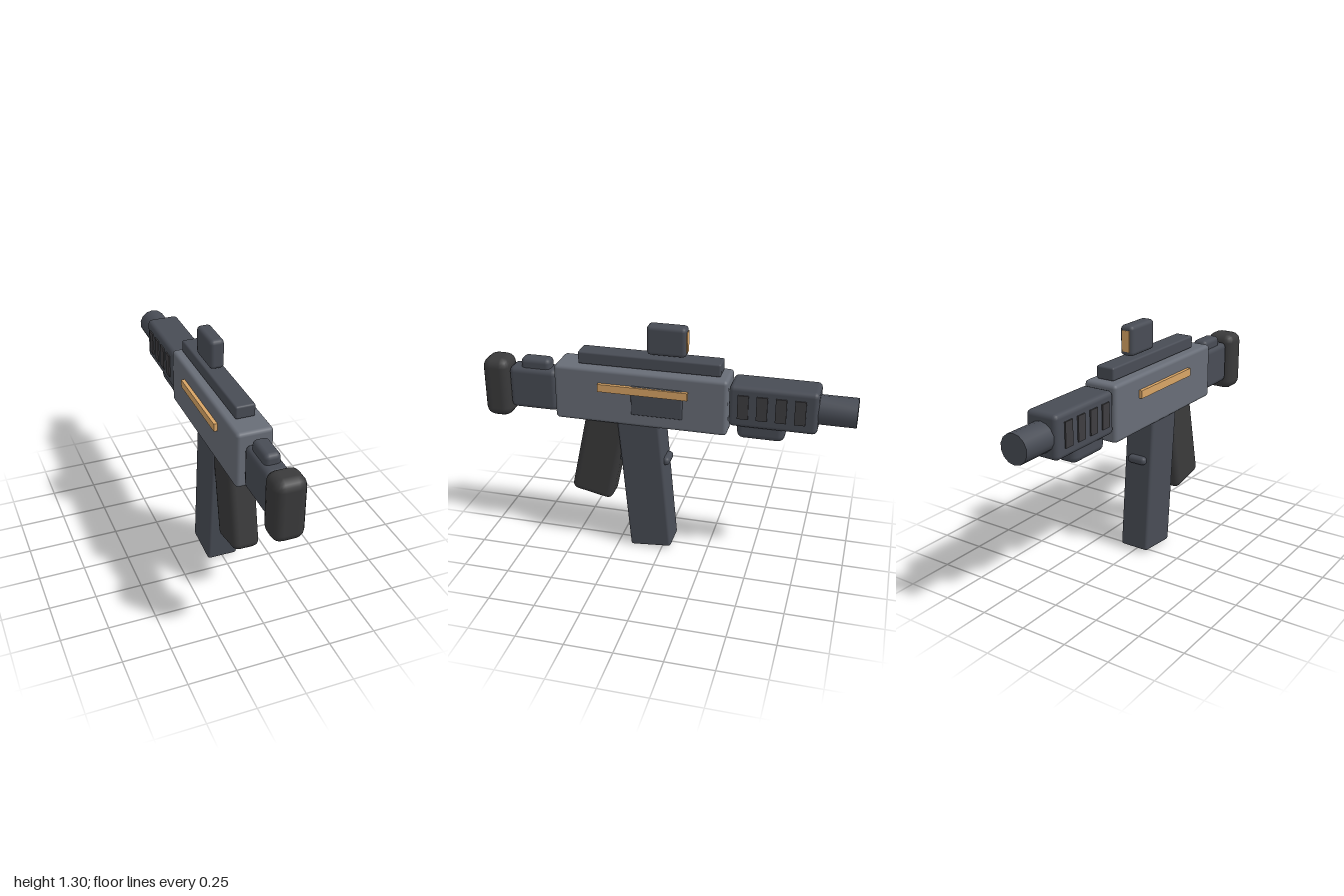
import * as THREE from 'three';
import { RoundedBoxGeometry } from 'three/addons/geometries/RoundedBoxGeometry.js';

const material = (color) => new THREE.MeshStandardMaterial({ color });

export function createModel() {
  const model = new THREE.Group();
  model.name = 'toyBlaster';

  const body = material(0x686d77);
  const dark = material(0x484c55);
  const rubber = material(0x3a3a3b);
  const ventGrey = material(0x3e3d40);
  const accent = material(0xd9a566);

  const add = (name, geometry, mat, x, y, z, tilt = 0) => {
    const mesh = new THREE.Mesh(geometry, mat);
    mesh.name = name;
    mesh.position.set(x, y, z);
    mesh.rotation.x = tilt;
    model.add(mesh);
    return mesh;
  };
  // Bevelled block centred on x, given by its height and depth ranges
  const block = (name, mat, width, [y0, y1], [z0, z1], bevel, x = 0) =>
    add(name, new RoundedBoxGeometry(width, y1 - y0, z1 - z0, 2, bevel), mat,
      x, (y0 + y1) / 2, (z0 + z1) / 2);

  // Main body and top rail
  block('receiver', body, 0.192, [0.755, 1.06], [-0.35, 0.58], 0.02);
  block('topRail', dark, 0.104, [1.063, 1.132], [-0.305, 0.457], 0.01);

  // Sight with a coloured lens on its muzzle side
  block('sight', dark, 0.078, [1.14, 1.3], [-0.12, 0.09], 0.022);
  add('sightLens', new THREE.BoxGeometry(0.042, 0.11, 0.012), accent, 0, 1.22, -0.117);

  // Barrel, handguard and lower foregrip
  const barrel = new THREE.CylinderGeometry(0.077, 0.077, 0.3, 14).rotateX(Math.PI / 2);
  barrel.computeVertexNormals();
  add('barrel', barrel, dark, 0, 0.923, -0.85);
  block('handguard', dark, 0.18, [0.813, 1.04], [-0.81, -0.355], 0.025);
  block('foregrip', dark, 0.13, [0.735, 0.85], [-0.645, -0.395], 0.035);

  // Vents and accent strips on both sides
  for (const side of [-1, 1]) {
    for (let i = 0; i < 4; i++) {
      add('vent', new THREE.BoxGeometry(0.02, 0.13, 0.056), ventGrey,
        side * 0.087, 0.93, -0.43 - i * 0.097);
    }
    add('accentStrip', new THREE.BoxGeometry(0.022, 0.042, 0.48), accent,
      side * 0.104, 0.963, 0.095);
  }

  // Port cover on one side only
  block('portCover', dark, 0.022, [0.825, 0.987], [-0.117, 0.158], 0.008, 0.095);

  // Shoulder stock
  block('stock', dark, 0.12, [0.77, 1.006], [0.582, 0.852], 0.03);
  block('cheekRest', dark, 0.084, [0.98, 1.057], [0.622, 0.787], 0.025);
  block('buttPad', rubber, 0.166, [0.71, 1.045], [0.85, 1.0], 0.05);

  // Slanted rear grip and forward magazine
  add('grip', new RoundedBoxGeometry(0.146, 0.6, 0.236, 2, 0.035), rubber,
    0, 0.58, 0.345, -0.21);
  add('magazine', new RoundedBoxGeometry(0.17, 0.82, 0.23, 2, 0.015), dark,
    0, 0.419, 0.096, 0.087);
  block('magazineCatch', dark, 0.11, [0.515, 0.56], [-0.037, 0.247], 0.02);

  return model;
}
